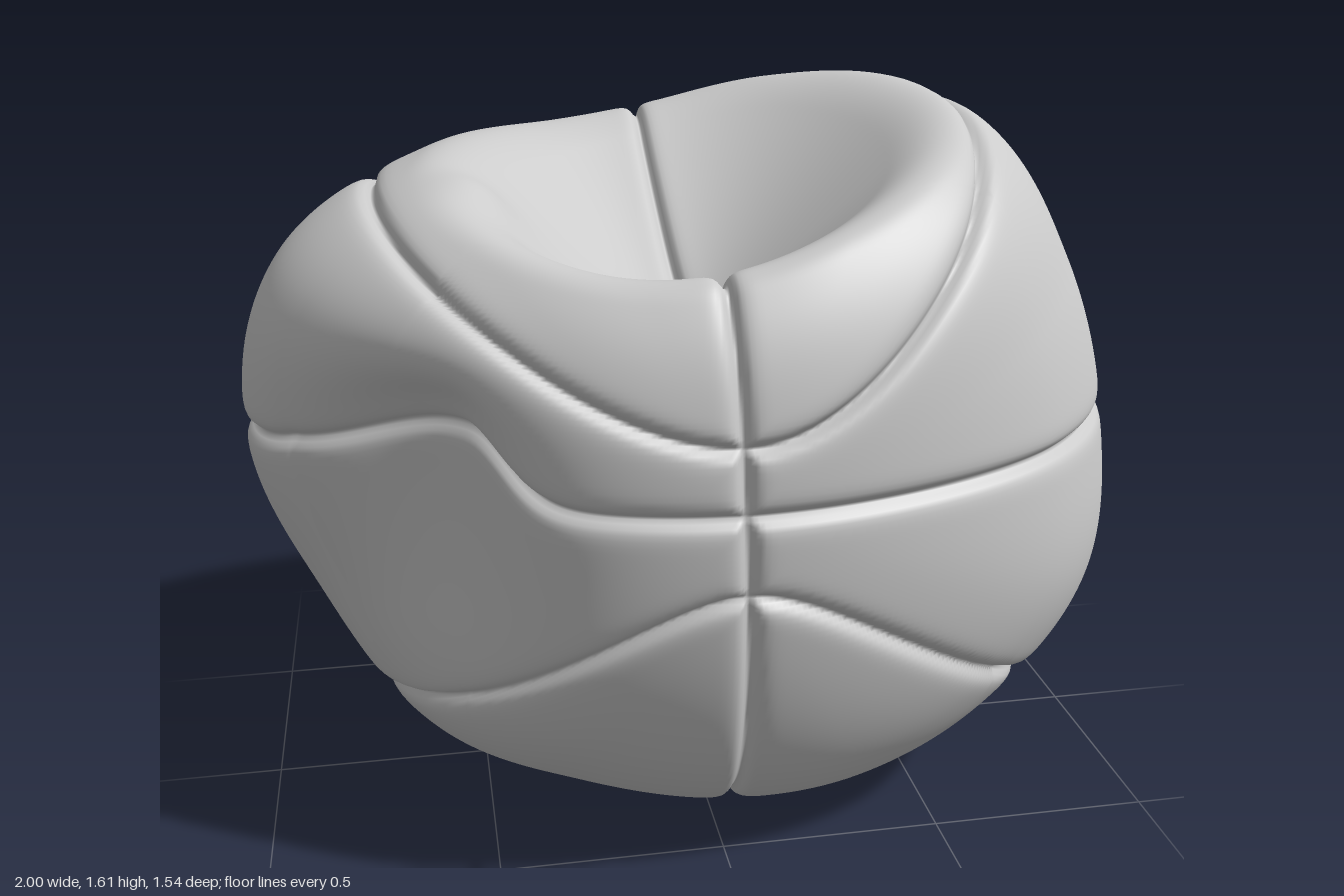
import * as THREE from 'three';
import { mergeVertices } from 'three/addons/utils/BufferGeometryUtils.js';

// Outline radius around the front-back axis, every 22.5 degrees from +x
const OUTLINE = [0.98, 0.94, 0.93, 0.81, 0.7, 0.7, 0.82, 0.98, 1.0, 0.95, 0.94, 0.88, 0.89, 0.94, 1.0, 1.05];
const MID = 0.9;
const DEPTH = 0.77;

const gauss = (t, w) => Math.exp(-(t * t) / (w * w));

// Periodic Catmull-Rom lookup in the outline
function outlineRadius(phi) {
  const n = OUTLINE.length;
  const t = ((phi / (2 * Math.PI)) * n + n) % n;
  const i = Math.floor(t), f = t - i;
  const [a, b, c, d] = [-1, 0, 1, 2].map((k) => OUTLINE[(i + k + n) % n]);
  return b + 0.5 * f * (c - a + f * (2 * a - 5 * b + 4 * c - d + f * (3 * (b - c) + d - a)));
}

// Seams as level sets on the unit ball: [value, d/dx, d/dy]
const SEAMS = [
  (x, y) => [x + 0.05 * y + 0.015, 1, 0.05],
  (x, y) => [y - 0.02, 0, 1],
  (x, y) => { const k = x > 0 ? 1.3 : 0.66; return [y - 0.19 - k * x * x, -2 * k * x, 1]; },
  (x, y) => { const h = Math.hypot(x, 0.2); return [y + 0.05 + 0.7 * h, (0.7 * x) / h, 1]; },
];

// Signed distance to a seam and its unit tangent direction
function seamDistance(seam, d) {
  const [g, gx, gy] = seam(d.x, d.y);
  const dir = new THREE.Vector3(gx, gy, 0);
  dir.addScaledVector(d, -dir.dot(d));
  const len = Math.max(dir.length(), 0.15);
  return { dist: g / len, dir: dir.divideScalar(len) };
}

// Height of the caved-in top: long slope at the back, steeper at the front
function craterHeight(x, z) {
  const dx = x + 0.08, dz = z - 0.3;
  const q = (dx / (dx > 0 ? 0.6 : 0.62)) ** 2 + (dz / (dz > 0 ? 0.6 : 0.88)) ** 2;
  const wrinkle = 0.03 * gauss(Math.hypot(x + 0.48, z - 0.17), 0.09);
  return 1.09 + 0.52 * Math.sqrt(q + 0.03) + wrinkle;
}

function smoothMin(a, b, k) {
  const h = Math.max(k - Math.abs(a - b), 0) / k;
  return Math.min(a, b) - (h * h * k) / 4;
}

// Unit direction -> point on the slumped ball
function deflate(d) {
  const phi = Math.atan2(d.y, d.x);
  const s = Math.hypot(d.x, d.y), c = Math.abs(d.z);
  const e = 2 + (d.y > 0 ? 0.65 : 0.05) * Math.sin(phi) ** 2;
  const k = Math.pow(s ** e + c ** e, -1 / e);
  // the section is round near the front and back, irregular in the middle
  const r = k * THREE.MathUtils.lerp(0.83, outlineRadius(phi), THREE.MathUtils.smoothstep(s, 0, 0.75));
  const p = new THREE.Vector3(r * d.x, MID + r * d.y, DEPTH * k * d.z);

  // lean: the underside sits forward, the top slightly back
  const rise = p.y - MID;
  p.z -= rise * Math.abs(rise) * (rise < 0 ? 0.16 : 0.1);

  // pushed-in corner at the front, with a fold above it
  if (p.z > 0) {
    const side = p.x + 0.6;
    const fold = gauss(side, side > 0 ? 0.12 : 0.26) * gauss(p.y - 0.93, 0.2);
    const push = gauss(p.x + 0.7, 0.24) * gauss(p.y - 0.86, p.y > 0.86 ? 0.26 : 0.38);
    const near = Math.min(1, p.z / 0.3);
    p.x += 0.08 * push * near;
    p.z -= 0.15 * push * near;
    p.y += 0.12 * fold * near;
  }

  p.y = smoothMin(p.y, craterHeight(p.x, p.z), 0.1);
  return p;
}

function ballGeometry() {
  // even ball from a subdivided cube
  const n = 110;
  let geometry = new THREE.BoxGeometry(2, 2, 2, n, n, n);
  geometry.deleteAttribute('normal');
  geometry.deleteAttribute('uv');
  geometry.clearGroups();
  geometry = mergeVertices(geometry, 1e-4);

  const pos = geometry.attributes.position;
  const groove = [];
  const d = new THREE.Vector3();
  const bend = (t) => Math.tan((t * Math.PI) / 4);
  for (let i = 0; i < pos.count; i++) {
    d.fromBufferAttribute(pos, i);
    d.set(bend(d.x), bend(d.y), bend(d.z)).normalize();

    // gather vertices towards the seams for crisp grooves
    for (const seam of SEAMS) {
      const { dist, dir } = seamDistance(seam, d);
      d.addScaledVector(dir, -0.45 * dist * gauss(dist, 0.08)).normalize();
    }
    let nearest = 1;
    for (const seam of SEAMS) nearest = Math.min(nearest, Math.abs(seamDistance(seam, d).dist));
    groove.push(0.02 * gauss(nearest, 0.014) + 0.009 * gauss(nearest, 0.032));

    const p = deflate(d);
    pos.setXYZ(i, p.x, p.y, p.z);
  }

  // sink the grooves along the surface normal
  geometry.computeVertexNormals();
  const normal = geometry.attributes.normal;
  for (let i = 0; i < pos.count; i++) {
    pos.setXYZ(
      i,
      pos.getX(i) - groove[i] * normal.getX(i),
      pos.getY(i) - groove[i] * normal.getY(i),
      pos.getZ(i) - groove[i] * normal.getZ(i),
    );
  }

  // stand on the ground
  geometry.computeBoundingBox();
  geometry.translate(0, -geometry.boundingBox.min.y, 0);
  geometry.computeVertexNormals();
  return geometry;
}

export function createModel() {
  const group = new THREE.Group();
  group.name = 'deflatedBall';
  const material = new THREE.MeshStandardMaterial({ color: 0xcccccc });
  const ball = new THREE.Mesh(ballGeometry(), material);
  ball.name = 'ballSkin';
  group.add(ball);
  return group;
}
